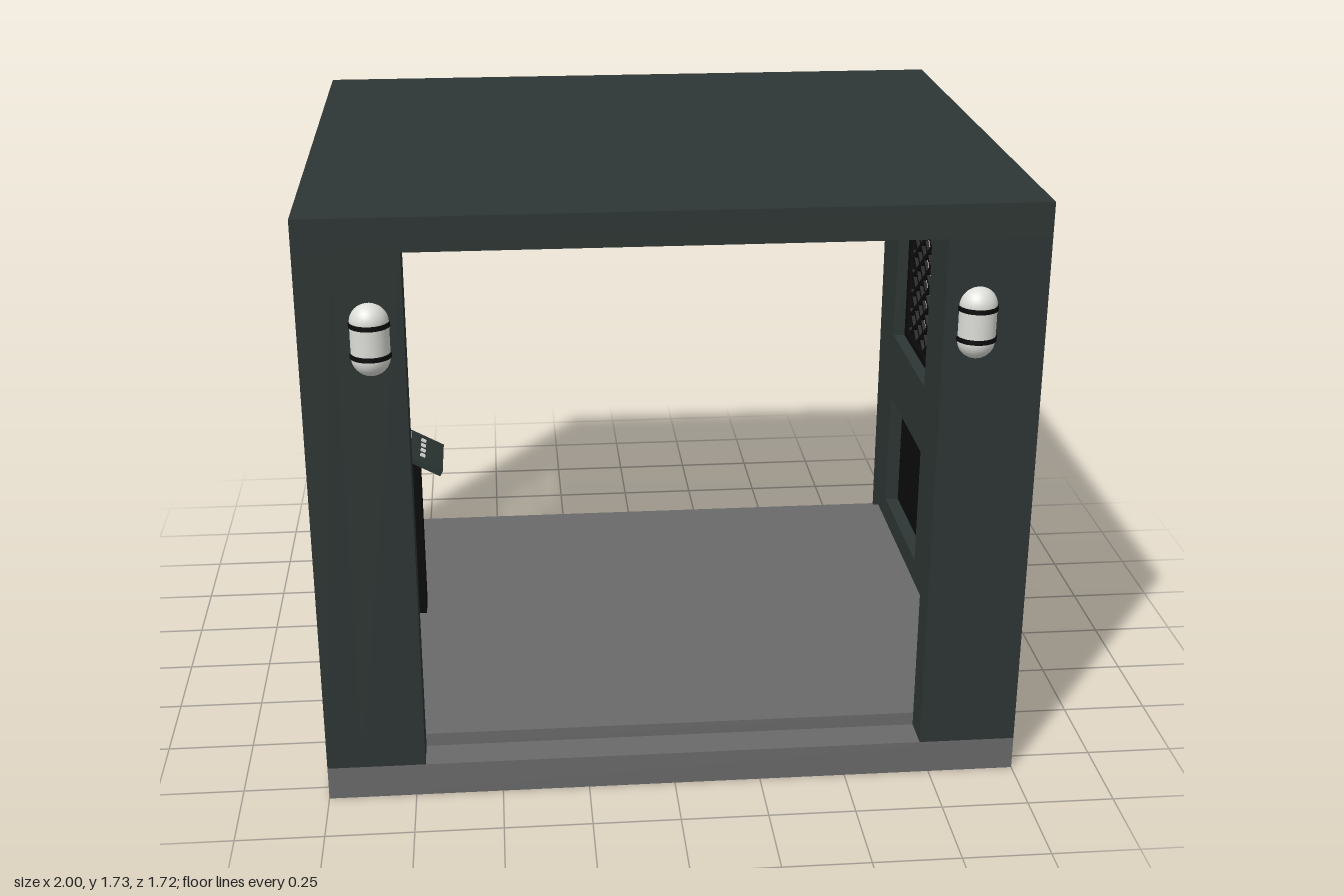
import * as THREE from 'three';
import { mergeGeometries } from 'three/addons/utils/BufferGeometryUtils.js';

const mat = (name, color) => Object.assign(new THREE.MeshStandardMaterial({ color }), { name });

export function createModel() {
  const model = new THREE.Group();
  model.name = 'shelter';
  const wallGreen = mat('darkGreenGrey', 0x2d3634);
  const stone = mat('concreteGrey', 0x6b6a6b);
  const black = mat('blackMetal', 0x0b0b0b);
  const glass = mat('lampWhite', 0xdcdcd8);
  const slate = mat('screenGrey', 0x7c8284);

  const add = (parent, name, geometry, material) => {
    const mesh = new THREE.Mesh(geometry, material);
    mesh.name = name;
    parent.add(mesh);
    return mesh;
  };
  // box given by its min and max on each axis
  const span = (x0, x1, y0, y1, z0, z1) =>
    new THREE.BoxGeometry(x1 - x0, y1 - y0, z1 - z0)
      .translate((x0 + x1) / 2, (y0 + y1) / 2, (z0 + z1) / 2);

  // base, raised floor, roof and front pillars
  add(model, 'base', span(-1, 1, 0, 0.1, -0.86, 0.81), stone);
  add(model, 'floor', span(-0.9, 0.9, 0.1, 0.14, -0.76, 0.71), stone);
  add(model, 'roof', span(-1, 1, 1.635, 1.73, -0.86, 0.81), wallGreen);
  for (const s of [-1, 1]) {
    const x0 = s > 0 ? 0.72 : -0.9;
    add(model, 'frontPillar', span(x0, x0 + 0.18, 0.1, 1.635, 0.71, 0.81), wallGreen);
  }

  // openings in each side wall: [z min, z max, y min, y max]
  const columns = [[0.037, 0.557], [-0.638, -0.14]];
  const upper = columns.map(([a, b]) => [a, b, 0.845, 1.52]);
  const lower = columns.map(([a, b]) => [a, b, 0.218, 0.615]);

  // side wall drawn in the (-z, y) plane and turned to face sideways
  const wallShape = new THREE.Shape();
  const rect = (path, a, b, c, d) =>
    path.moveTo(-b, c).lineTo(-a, c).lineTo(-a, d).lineTo(-b, d).closePath();
  rect(wallShape, -0.86, 0.81, 0.1, 1.635);
  for (const r of [...upper, ...lower]) {
    const hole = new THREE.Path();
    rect(hole, ...r);
    wallShape.holes.push(hole);
  }
  const wallGeo = new THREE.ExtrudeGeometry(wallShape, { depth: 0.1, bevelEnabled: false })
    .rotateY(Math.PI / 2).translate(-0.05, 0, 0);

  // black rim of an upper window
  const frameGeo = ([z0, z1, y0, y1]) => mergeGeometries([
    span(-0.012, 0.012, y0, y1, z0, z0 + 0.038),
    span(-0.012, 0.012, y0, y1, z1 - 0.038, z1),
    span(-0.012, 0.012, y0, y0 + 0.025, z0 + 0.038, z1 - 0.038),
    span(-0.012, 0.012, y1 - 0.025, y1, z0 + 0.038, z1 - 0.038),
  ]);

  // diagonal bars clipped to the inside of the rim
  const latticeGeo = ([z0, z1, y0, y1]) => {
    const w = (z1 - z0) / 2 - 0.034, h = (y1 - y0) / 2 - 0.021;
    const slope = 0.71, pitch = 0.07, bars = [];
    const reach = Math.ceil((h + slope * w) / pitch);
    for (const dir of [-1, 1]) {
      for (let i = -reach; i <= reach; i++) {
        const c = (i + 0.5) * pitch;
        const a = Math.max(-w, (-h - c) / slope), b = Math.min(w, (h - c) / slope);
        if (b - a < 0.01) continue;
        const mid = (a + b) / 2;
        bars.push(new THREE.BoxGeometry(0.01, 0.015, (b - a) * Math.hypot(1, slope))
          .rotateX(-dir * Math.atan(slope))
          .translate(0, (y0 + y1) / 2 + slope * mid + c, (z0 + z1) / 2 + dir * mid));
      }
    }
    return mergeGeometries(bars);
  };

  // fine square mesh of a lower vent
  const meshGeo = ([z0, z1, y0, y1]) => {
    const bars = [], nz = 28, ny = 19;
    for (let i = 0; i <= nz; i++) {
      const z = THREE.MathUtils.lerp(z0 + 0.004, z1 - 0.004, i / nz);
      bars.push(span(-0.005, 0.005, y0, y1, z - 0.004, z + 0.004));
    }
    for (let i = 0; i <= ny; i++) {
      const y = THREE.MathUtils.lerp(y0 + 0.006, y1 - 0.006, i / ny);
      bars.push(span(-0.006, 0.006, y - 0.006, y + 0.006, z0, z1));
    }
    return mergeGeometries(bars);
  };

  for (const s of [-1, 1]) {
    const side = new THREE.Group();
    side.name = s > 0 ? 'leftSide' : 'rightSide';
    side.position.x = s * 0.95;
    model.add(side);
    add(side, 'sideWall', wallGeo, wallGreen);
    for (const r of upper) {
      add(side, 'windowFrame', frameGeo(r), black);
      add(side, 'windowLattice', latticeGeo(r), black);
    }
    for (const r of lower) add(side, 'ventMesh', meshGeo(r), black);

    // capsule lamp with two bands on the front pillar
    const lamp = new THREE.Group();
    lamp.name = 'wallLamp';
    lamp.position.set(s * 0.81, 1.4, 0.803);
    model.add(lamp);
    add(lamp, 'lampGlass', new THREE.CapsuleGeometry(0.053, 0.098, 10, 28), glass);
    for (const y of [-0.043, 0.043]) {
      add(lamp, 'lampBand', new THREE.CylinderGeometry(0.056, 0.056, 0.013, 28), black)
        .position.y = y;
    }

    // round ceiling lights
    for (const z of [-0.45, 0.4]) {
      add(model, 'ceilingLight', new THREE.CylinderGeometry(0.117, 0.117, 0.02, 32), glass)
        .position.set(s * 0.5, 1.635, z);
    }
  }

  // control stand beside the right wall, its desk sloping inwards
  const stand = new THREE.Group();
  stand.name = 'controlStand';
  stand.position.set(-0.78, 0, -0.09);
  model.add(stand);
  add(stand, 'post', span(-0.045, 0.045, 0.14, 0.71, -0.045, 0.045), black);
  const desk = new THREE.Group();
  desk.name = 'desk';
  desk.position.y = 0.725;
  desk.rotation.z = -0.5;
  stand.add(desk);
  add(desk, 'deskPanel', span(-0.13, 0.13, -0.009, 0.009, -0.11, 0.11), wallGreen);
  add(desk, 'screen', span(-0.105, 0.015, 0.009, 0.014, -0.085, 0.085), slate);
  add(desk, 'screenInset', span(-0.085, -0.005, 0.014, 0.017, -0.04, 0.04), black);
  for (let i = 0; i < 4; i++) {
    const z = -0.06 + i * 0.04;
    add(desk, 'button', span(0.05, 0.066, 0.009, 0.015, z - 0.007, z + 0.007), glass);
  }
  return model;
}
